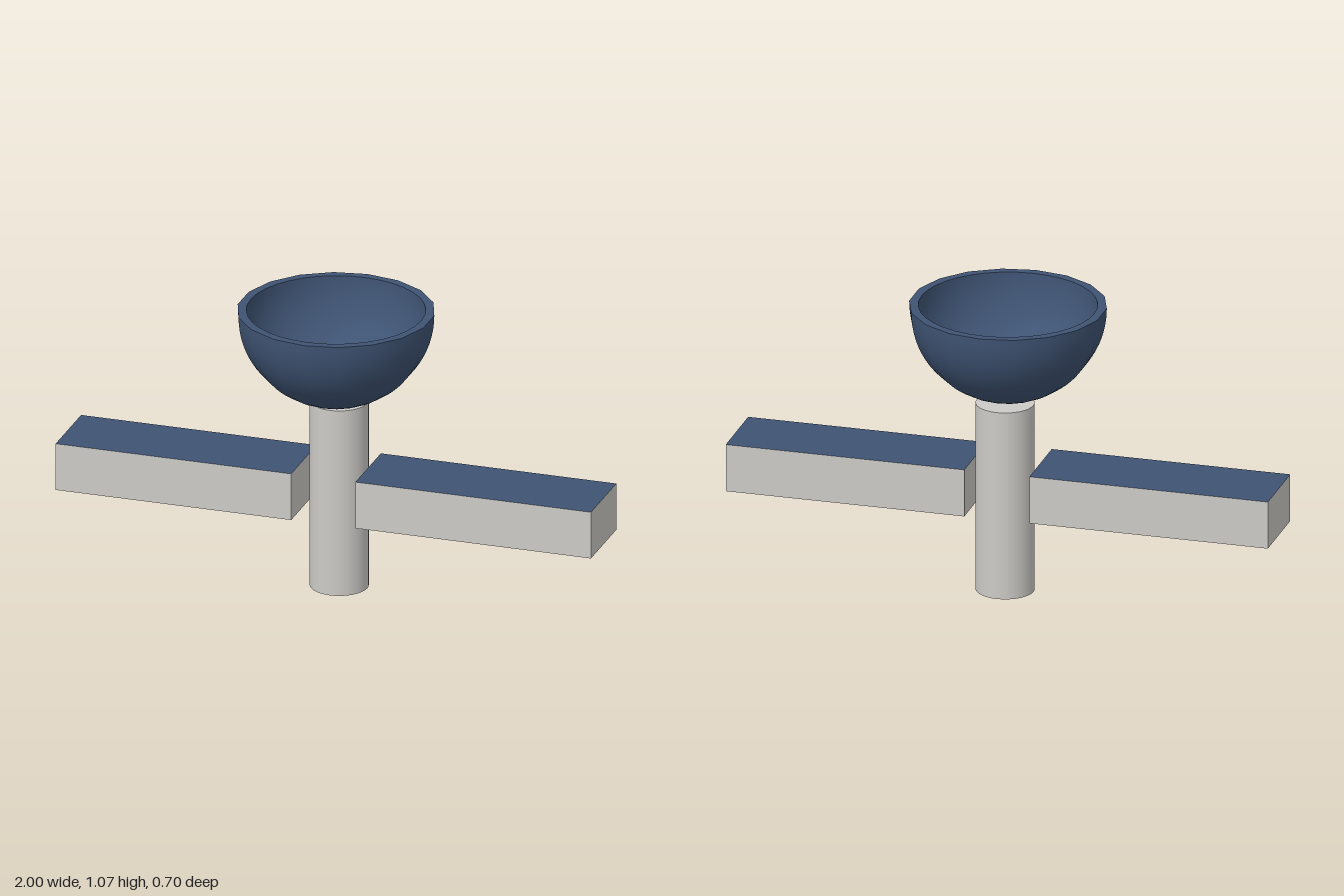
import * as THREE from 'three';

export function createModel() {
  const model = new THREE.Group();
  const grey = new THREE.MeshStandardMaterial({ color: 0xcccbc7 });
  grey.name = 'light grey';
  const blue = new THREE.MeshStandardMaterial({ color: 0x3f5474 });
  blue.name = 'slate blue';

  const add = (name, geometry, material, x, y, z) => {
    const mesh = new THREE.Mesh(geometry, material);
    mesh.name = name;
    mesh.position.set(x, y, z);
    model.add(mesh);
    return mesh;
  };

  // Upright body, set slightly back from the centre
  add('body', new THREE.CylinderGeometry(0.105, 0.105, 0.708, 32), grey, 0, 0.354, -0.036);

  // Side panels: grey boxes with a blue top face
  const panel = new THREE.BoxGeometry(0.88, 0.177, 0.282);
  const faces = [grey, grey, blue, grey, grey, grey];
  add('leftPanel', panel, faces, 0.56, 0.389, 0);
  add('rightPanel', panel, faces, -0.56, 0.389, 0);

  // Hollow dish: outer hemisphere, flat rim and inner hemisphere
  const rimY = 1.066, outer = 0.352, inner = 0.318, sides = 18;
  const dish = new THREE.Group();
  dish.name = 'dish';
  dish.position.y = rimY;
  model.add(dish);

  const bowl = (name, radius, segments, inward) => {
    const profile = [];
    for (let i = 0; i <= 20; i++) {
      const a = (i / 20) * Math.PI / 2;
      profile.push(new THREE.Vector2(radius * Math.sin(a), -radius * Math.cos(a)));
    }
    if (inward) profile.reverse();
    const mesh = new THREE.Mesh(new THREE.LatheGeometry(profile, segments), blue);
    mesh.name = name;
    dish.add(mesh);
  };
  bowl('dishOutside', outer, sides, false);
  bowl('dishInside', inner, 36, true);

  const ring = (radius, segments) => Array.from({ length: segments }, (_, i) => {
    const a = (i / segments) * Math.PI * 2;
    return new THREE.Vector2(radius * Math.sin(a), radius * Math.cos(a));
  });
  const rimShape = new THREE.Shape(ring(outer, sides));
  rimShape.holes.push(new THREE.Path(ring(inner, 36)));
  const rim = new THREE.Mesh(new THREE.ShapeGeometry(rimShape).rotateX(-Math.PI / 2), blue);
  rim.name = 'dishRim';
  dish.add(rim);

  return model;
}
